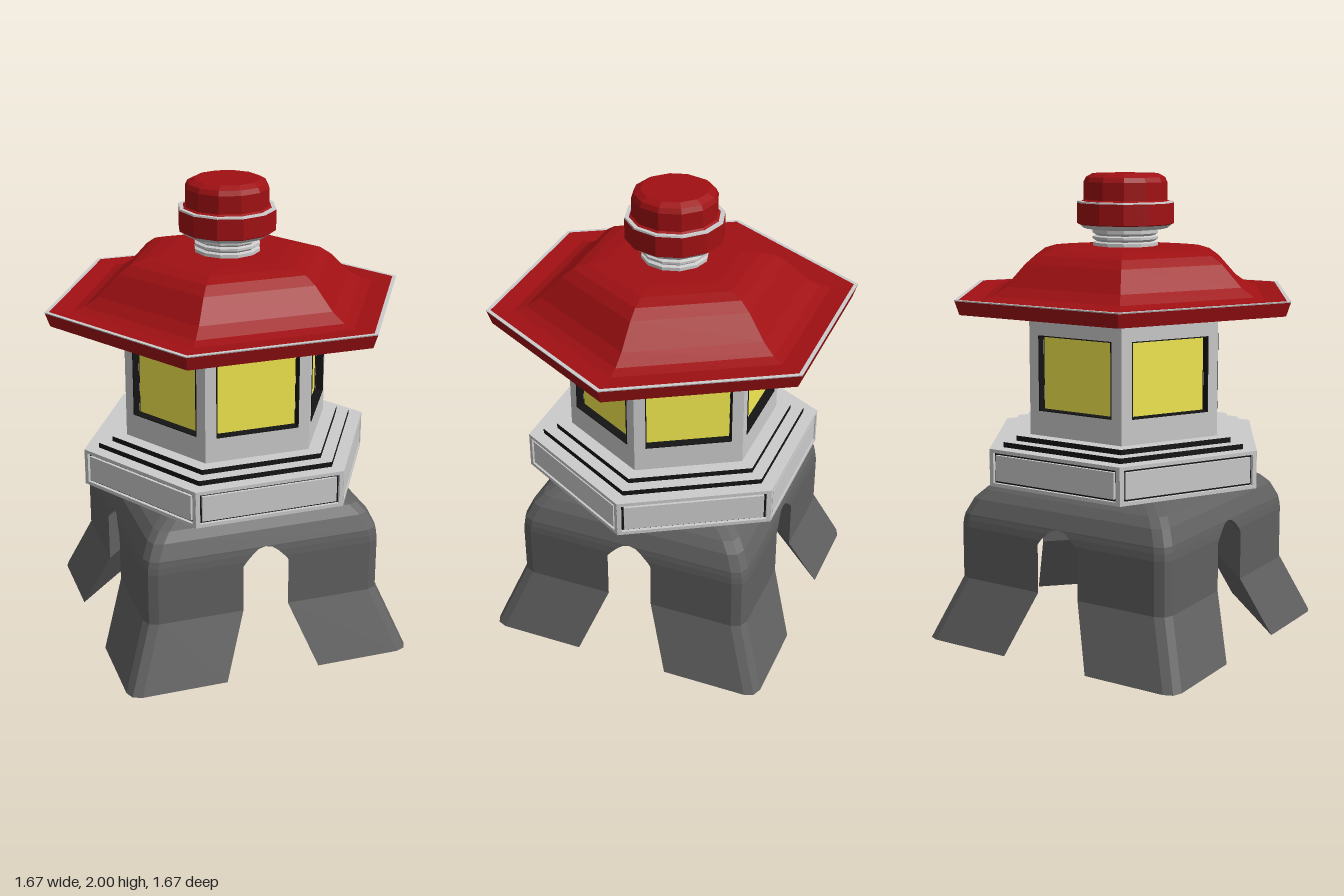
import * as THREE from 'three';

const mat = (color) => new THREE.MeshStandardMaterial({ color, flatShading: true, side: THREE.DoubleSide });

export function createModel() {
  const root = new THREE.Group();
  const grey = mat(0xcccccc), red = mat(0xa01013), black = mat(0x141414);
  const yellow = mat(0xf4ea50), stone = mat(0x606060);

  const add = (parent, name, geometry, material, x = 0, y = 0, z = 0) => {
    const m = new THREE.Mesh(geometry, material);
    m.name = name;
    m.position.set(x, y, z);
    parent.add(m);
    return m;
  };
  const lathe = (name, pts, sides, material) =>
    add(root, name, new THREE.LatheGeometry(pts.map(p => new THREE.Vector2(...p)), sides), material);

  // Flat rectangular frame, front at z = 0, going back by depth
  const frame = (w, h, holeW, holeH, depth) => {
    const rect = (path, a, b) => path.moveTo(-a, -b).lineTo(a, -b).lineTo(a, b).lineTo(-a, b).closePath();
    const s = rect(new THREE.Shape(), w / 2, h / 2);
    s.holes.push(rect(new THREE.Path(), holeW / 2, holeH / 2));
    return new THREE.ExtrudeGeometry(s, { depth, bevelEnabled: false }).translate(0, 0, -depth);
  };

  // Closed solid from rings of [x, z] at rising heights
  const loft = (levels) => {
    const n = levels[0].ring.length, pos = [], idx = [];
    levels.forEach(({ y, ring }) => ring.forEach(([x, z]) => pos.push(x, y, z)));
    const last = (levels.length - 1) * n;
    for (let i = 0; i < levels.length - 1; i++) {
      for (let k = 0; k < n; k++) {
        const a = i * n + k, b = i * n + (k + 1) % n;
        idx.push(a, a + n, b + n, a, b + n, b);
      }
    }
    for (let k = 1; k < n - 1; k++) idx.push(0, k, k + 1, last, last + k + 1, last + k);
    const g = new THREE.BufferGeometry();
    g.setAttribute('position', new THREE.Float32BufferAttribute(pos, 3));
    g.setIndex(idx);
    g.computeVertexNormals();
    return g;
  };

  // Stone base: four flared legs joined by arches under a rounded cap
  const base = new THREE.Group();
  base.name = 'base';
  base.rotation.y = THREE.MathUtils.degToRad(29.5);
  root.add(base);
  const H = 0.525, C = 0.055;
  const corner = (h) => [[h, h - C], [h - 0.016, h - 0.016], [h - C, h]];
  // y, half size, half opening width, outward shift
  const legLevels = [
    [0, H, 0.1, 0.105], [0.27, H, 0.1, 0], [0.48, H, 0.1, 0], [0.5, H, 0.085, 0],
    [0.53, H * 0.994, 0.055, 0], [0.548, H * 0.987, 0.03, 0], [0.555, H * 0.985, 0, 0],
  ].map(([y, h, w, d]) => ({
    y, ring: [[h, w], ...corner(h), [w, h]].map(([x, z]) => [x + d, z + d]),
  }));
  const legGeometry = loft(legLevels);
  for (let i = 0; i < 4; i++) add(base, 'leg', legGeometry, stone).rotation.y = i * Math.PI / 2;

  const capLevels = [[0.555, 0.985], [0.62, 0.93], [0.657, 0.865], [0.685, 0.77], [0.71, 0.66]]
    .map(([y, s]) => {
      const ring = [];
      for (let i = 0; i < 4; i++) {
        const c = Math.round(Math.cos(i * Math.PI / 2)), t = Math.round(Math.sin(i * Math.PI / 2));
        corner(H * s).forEach(([x, z]) => ring.push([x * c - z * t, x * t + z * c]));
      }
      return { y, ring };
    });
  add(base, 'baseCap', loft(capLevels), stone);

  // Hexagonal platform core and the two steps with dark risers
  const hex = (r, h) => new THREE.CylinderGeometry(r, r, h, 6);
  add(root, 'platform', hex(0.625, 0.16), grey, 0, 0.79, 0);
  add(root, 'lowerStep', hex(0.58, 0.022), [black, grey, grey], 0, 0.881, 0);
  add(root, 'upperStep', hex(0.52, 0.022), [black, grey, grey], 0, 0.903, 0);

  // Six sides: framed platform panel and wall with a recessed window
  const platformFrame = frame(0.645, 0.16, 0.607, 0.13, 0.02);
  const wall = frame(0.455, 0.55, 0.36, 0.32, 0.06);
  const lining = frame(0.36, 0.32, 0.352, 0.312, 0.045);
  const panel = new THREE.BoxGeometry(0.585, 0.11, 0.02);
  const groove = new THREE.BoxGeometry(0.61, 0.135, 0.006);
  const pane = new THREE.BoxGeometry(0.36, 0.32, 0.01);
  for (let i = 0; i < 6; i++) {
    const side = new THREE.Group();
    side.name = 'side';
    side.rotation.y = (i + 0.5) * Math.PI / 3;
    root.add(side);
    add(side, 'platformFrame', platformFrame, grey, 0, 0.79, 0.558);
    add(side, 'panelGroove', groove, black, 0, 0.79, 0.541);
    add(side, 'platformPanel', panel, grey, 0, 0.79, 0.546);
    add(side, 'wall', wall, grey, 0, 1.18, 0.394);
    add(side, 'windowLining', lining, black, 0, 1.18, 0.397);
    add(side, 'windowPane', pane, yellow, 0, 1.18, 0.354);
  }

  // Hexagonal roof with upturned eaves and a pale edge
  lathe('roof', [[0, 1.44], [0.765, 1.44], [0.785, 1.497]], 6, red);
  lathe('roofEdge', [[0.785, 1.497], [0.787, 1.502], [0.768, 1.502]], 6, grey);
  lathe('roofTop', [[0.768, 1.502], [0.67, 1.495], [0.62, 1.508], [0.56, 1.545], [0.47, 1.635],
    [0.42, 1.668], [0.36, 1.685], [0.28, 1.693], [0, 1.7]], 6, red);

  // Ringed neck, collar and rounded top knob
  lathe('neck', [[0.14, 1.69], [0.14, 1.71], [0.125, 1.715], [0.14, 1.725], [0.14, 1.735],
    [0.125, 1.74], [0.14, 1.75], [0.14, 1.765], [0.18, 1.77], [0.2, 1.788]], 12, grey);
  lathe('collar', [[0.2, 1.786], [0.207, 1.79], [0.207, 1.877]], 12, red);
  lathe('collarEdge', [[0.207, 1.877], [0.205, 1.884], [0.188, 1.884]], 12, grey);
  lathe('knob', [[0.188, 1.884], [0.178, 1.89], [0.178, 1.965], [0.168, 1.985], [0.14, 2], [0, 2]], 12, red);

  return root;
}
